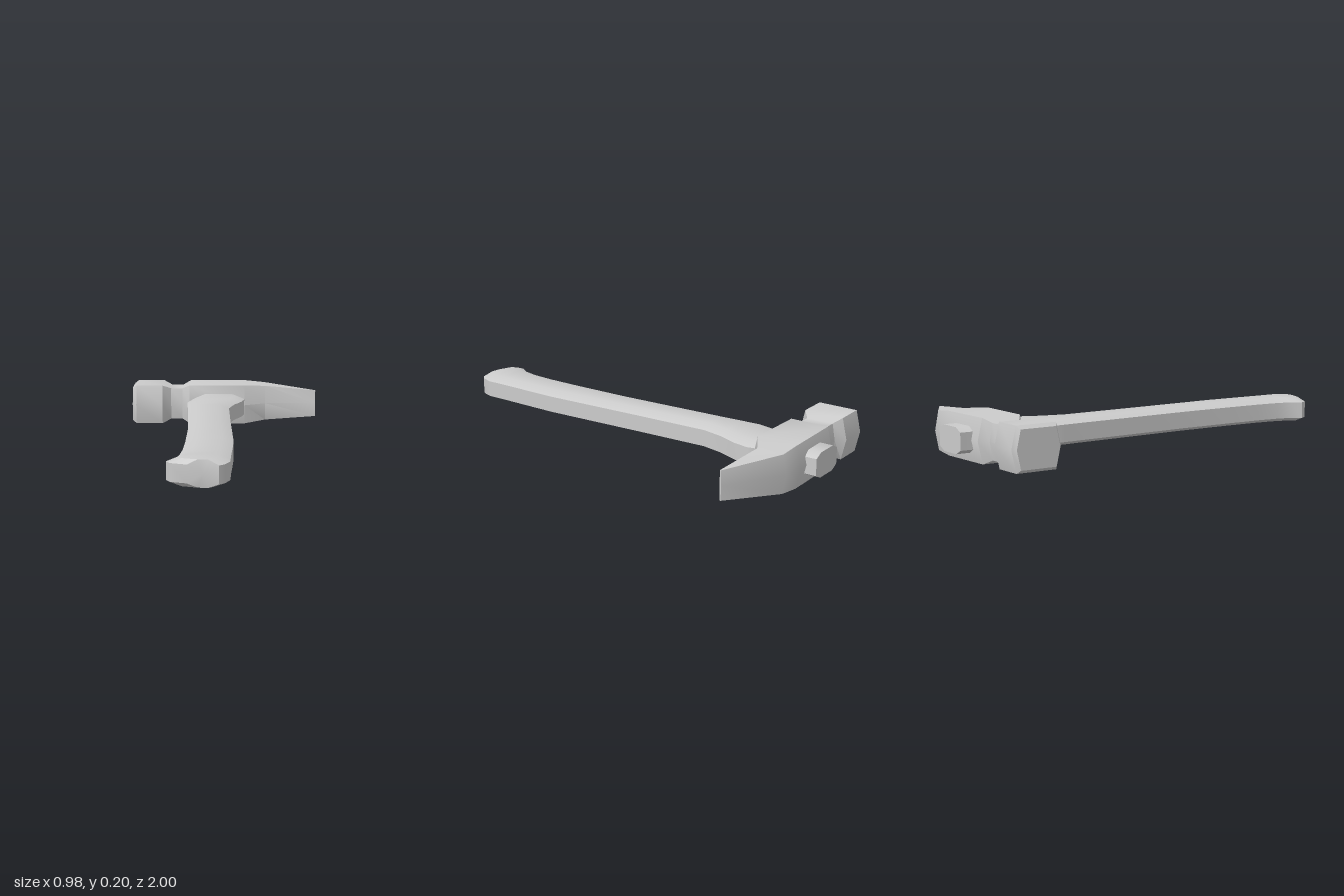
import * as THREE from 'three';
import { toCreasedNormals } from 'three/addons/utils/BufferGeometryUtils.js';

// Skin a list of equal-length rings (counterclockwise seen from the far end) and cap both ends.
function loft(rings, creaseDegrees) {
  const pos = [];
  const tri = (...pts) => pts.forEach(p => pos.push(...p));
  const n = rings[0].length;
  const centre = ring => [0, 1, 2].map(k => ring.reduce((s, p) => s + p[k], 0) / n);
  const first = rings[0], last = rings[rings.length - 1];
  const c0 = centre(first), c1 = centre(last);
  for (let j = 0; j < n; j++) {
    const k = (j + 1) % n;
    for (let i = 0; i < rings.length - 1; i++) {
      const a = rings[i], b = rings[i + 1];
      tri(a[j], a[k], b[k]);
      tri(a[j], b[k], b[j]);
    }
    tri(c0, first[k], first[j]);
    tri(c1, last[j], last[k]);
  }
  const geometry = new THREE.BufferGeometry();
  geometry.setAttribute('position', new THREE.Float32BufferAttribute(pos, 3));
  return toCreasedNormals(geometry, THREE.MathUtils.degToRad(creaseDegrees));
}

// Six-sided head section with slightly bulging front and back
function headRing([x, yLow, yHigh, zBack, zFront, inset]) {
  const mid = (yLow + yHigh) / 2;
  return [
    [x, yHigh, zBack + inset], [x, yHigh, zFront - inset], [x, mid, zFront],
    [x, yLow, zFront - inset], [x, yLow, zBack + inset], [x, mid, zBack],
  ];
}

// Eight-sided grip section: upright side walls, shallow bevels, flat top and bottom
function handleRing([xl, zl, xr, zr, inset = 0.05, pull = 0]) {
  const t = inset / (xr - xl);
  const at = (u, y, back) => [xl + (xr - xl) * u, y, zl + (zr - zl) * u - back];
  return [
    at(1, 0.06, 0), at(1, 0.14, 0), at(1 - t, 0.16, pull), at(t, 0.16, pull),
    at(0, 0.14, 0), at(0, 0.06, 0), at(t, 0.04, pull), at(1 - t, 0.04, pull),
  ];
}

export function createModel() {
  const group = new THREE.Group();
  const material = new THREE.MeshStandardMaterial({ color: 0xcccccc });
  const add = (name, geometry) => {
    const mesh = new THREE.Mesh(geometry, material);
    mesh.name = name;
    group.add(mesh);
  };

  // Head from striking face, through the neck and eye, to the wedge tip
  const headStations = [
    [-0.49, 0.015, 0.19, -0.93, -0.715, 0.02],
    [-0.47, 0, 0.205, -0.945, -0.7, 0.024],
    [-0.33, 0, 0.205, -0.945, -0.7, 0.024],
    [-0.285, 0.02, 0.185, -0.908, -0.744, 0.015],
    [-0.225, 0.02, 0.185, -0.908, -0.744, 0.015],
    [-0.185, 0, 0.205, -0.945, -0.707, 0.024],
    [0.11, 0, 0.205, -0.952, -0.703, 0.024],
    [0.22, 0.01, 0.195, -0.94, -0.772, 0.018],
    [0.49, 0.034, 0.174, -0.776, -0.768, 0.001],
  ];
  add('hammerHead', loft(headStations.map(headRing), 35));

  // Handle: tenon through the head, swollen shoulder, slim grip, flared heel
  const straight = (z, xl, xr, inset) => [xl, z, xr, z, inset];
  const handleStations = [
    straight(-1, -0.13, 0.06, 0.04),
    straight(-0.76, -0.13, 0.06, 0.04),
    straight(-0.71, -0.155, 0.1),
    straight(-0.67, -0.165, 0.108),
    straight(-0.6, -0.182, 0.095),
    straight(-0.56, -0.19, 0.08),
    straight(-0.5, -0.187, 0.055),
    straight(-0.39, -0.181, 0.03),
    straight(0, -0.165, 0.042),
    straight(0.2, -0.157, 0.05),
    straight(0.5, -0.156, 0.061),
    straight(0.68, -0.16, 0.056),
    straight(0.8, -0.17, 0.052),
    straight(0.87, -0.188, 0.051),
    straight(0.92, -0.22, 0.05),
    [-0.203, 0.955, 0.03, 0.975, 0.05, 0.01],
    [-0.13, 0.985, 0.005, 1, 0.045, 0.015],
  ];
  add('handle', loft(handleStations.map(handleRing), 38));

  return group;
}
